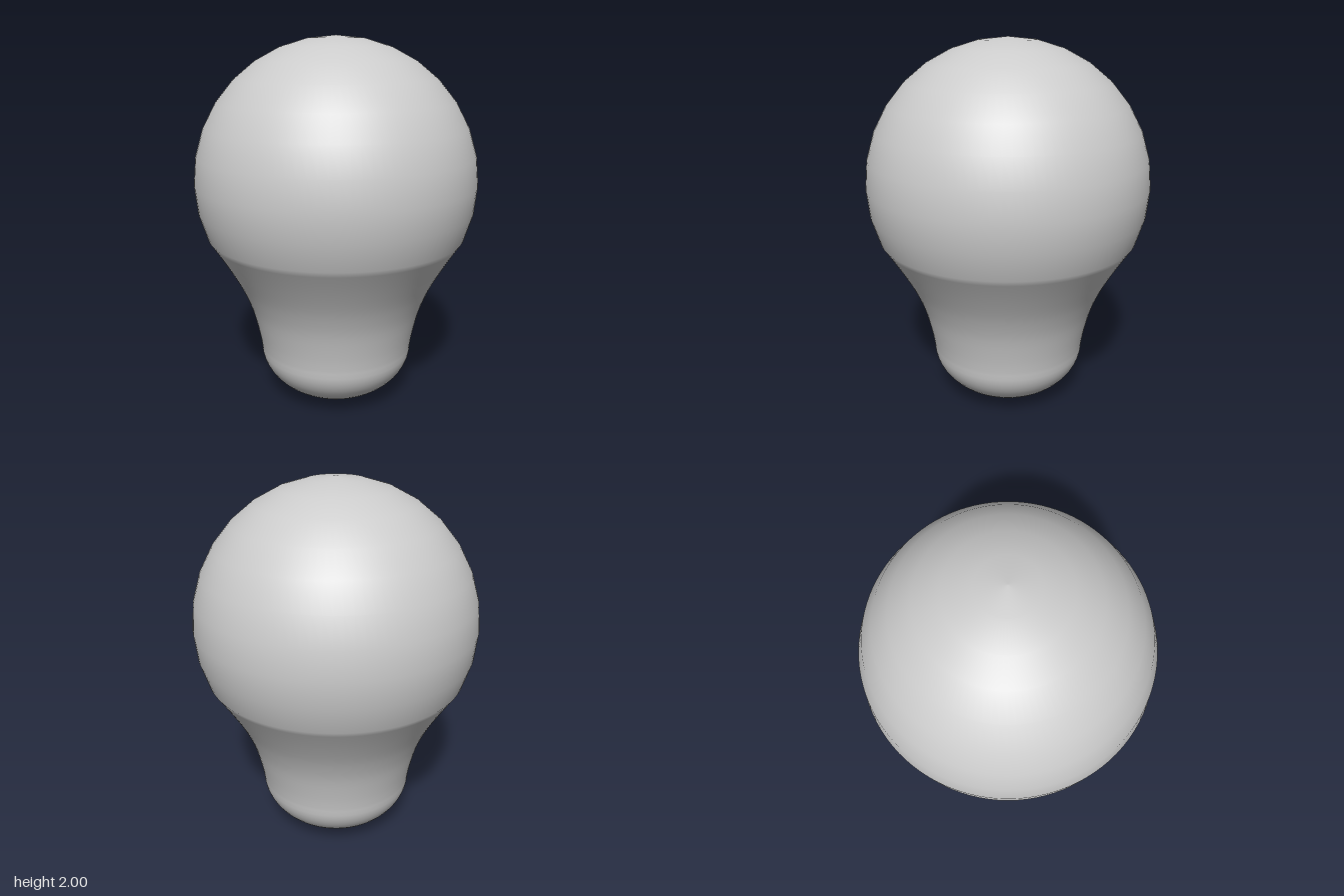
import * as THREE from 'three';

export function createModel() {
  const group = new THREE.Group();
  group.name = 'lightBulb';
  const profile = [];

  // Rounded base: a quarter ellipse from the bottom up to the neck
  const baseR = 0.424, baseH = 0.3;
  for (let i = 0; i <= 16; i++) {
    const a = (i / 16) * Math.PI / 2;
    profile.push(new THREE.Vector2(baseR * Math.sin(a), baseH * (1 - Math.cos(a))));
  }

  // Flared neck
  const neck = new THREE.SplineCurve([
    [baseR, baseH], [0.438, 0.386], [0.47, 0.52], [0.508, 0.624],
    [0.553, 0.718], [0.621, 0.836], [0.697, 0.956],
  ].map(([r, y]) => new THREE.Vector2(r, y)));
  profile.push(...neck.getPoints(18).slice(1, -1));

  // Globe: coarse arc from below the equator to the crown
  const R = 0.755, step = Math.PI / 16;
  for (let i = -2; i <= 8; i++) {
    const r = i === 8 ? 0 : R * Math.cos(i * step);
    profile.push(new THREE.Vector2(r, 2 - R + R * Math.sin(i * step)));
  }

  const bulb = new THREE.Mesh(
    new THREE.LatheGeometry(profile, 96),
    new THREE.MeshStandardMaterial({ color: 0xcccccc }),
  );
  bulb.name = 'bulb';
  group.add(bulb);
  return group;
}
